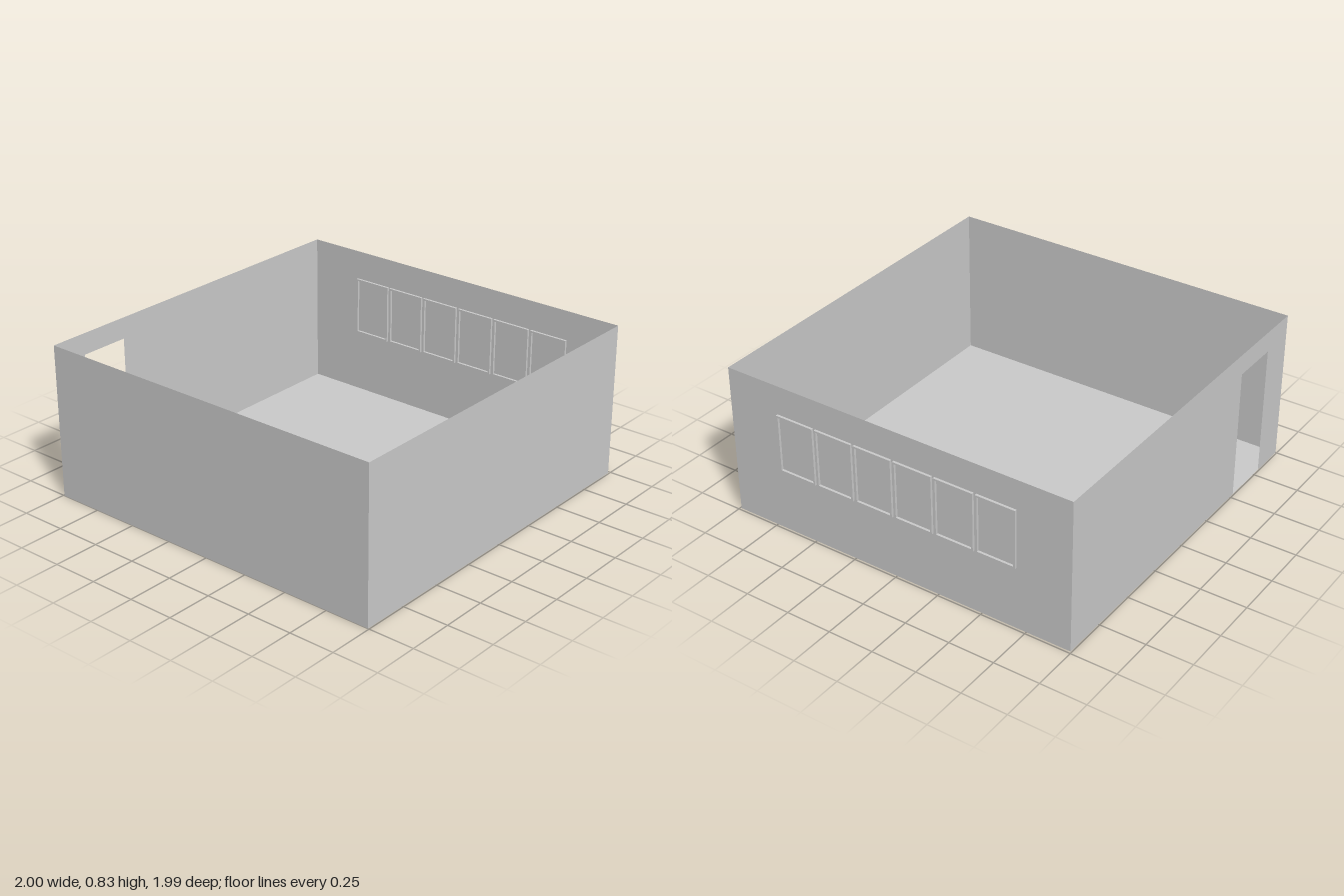
import * as THREE from 'three';

const W = 1.987, H = 0.83, X0 = -1, X1 = X0 + W, Z = W / 2;
const mat = new THREE.MeshStandardMaterial({ color: 0xcccccc, side: THREE.DoubleSide, flatShading: true });

// Thin panel from a list of 2D corners
function panel(name, points) {
  const shape = new THREE.Shape(points.map(([x, y]) => new THREE.Vector2(x, y)));
  const mesh = new THREE.Mesh(new THREE.ShapeGeometry(shape), mat);
  mesh.name = name;
  return mesh;
}

// Rectangular window frame, lying in the XY plane and centred on z = 0
function windowFrame(w, h, bar, depth) {
  const rect = (p, a, b) => p.moveTo(-a, -b).lineTo(a, -b).lineTo(a, b).lineTo(-a, b).closePath();
  const shape = rect(new THREE.Shape(), w / 2, h / 2);
  shape.holes.push(rect(new THREE.Path(), w / 2 - bar, h / 2 - bar));
  const geo = new THREE.ExtrudeGeometry(shape, { depth, bevelEnabled: false });
  return geo.translate(0, 0, -depth / 2);
}

export function createModel() {
  const room = new THREE.Group();
  room.name = 'room';
  const cx = (X0 + X1) / 2;
  const plain = [[-Z, 0], [Z, 0], [Z, H], [-Z, H]];

  // Floor
  const floor = panel('floor', [[-Z, -Z], [Z, -Z], [Z, Z], [-Z, Z]]);
  floor.rotation.x = -Math.PI / 2;
  floor.position.x = cx;
  room.add(floor);

  // Front and side walls
  const front = panel('frontWall', plain);
  front.position.set(cx, 0, Z);
  room.add(front);
  for (const [name, x, turn] of [['leftWall', X1, 1], ['rightWall', X0, -1]]) {
    const wall = panel(name, plain);
    wall.position.x = x;
    wall.rotation.y = turn * Math.PI / 2;
    room.add(wall);
  }

  // Back wall, outlined around the open doorway
  const d0 = -0.803, d1 = -0.533, dh = 0.715;
  const back = panel('backWall', [
    [X0, 0], [d0, 0], [d0, dh], [d1, dh], [d1, 0], [X1, 0], [X1, H], [X0, H],
  ]);
  back.position.z = -Z;
  room.add(back);

  // Row of six window frames set through the side wall
  const windows = new THREE.Group();
  windows.name = 'windows';
  const pitch = 0.234, frame = windowFrame(0.22, 0.322, 0.01, 0.026);
  for (let i = 0; i < 6; i++) {
    const mesh = new THREE.Mesh(frame, mat);
    mesh.name = 'windowFrame' + (i + 1);
    mesh.rotation.y = Math.PI / 2;
    mesh.position.set(X1, 0.508, (i - 2.5) * pitch);
    windows.add(mesh);
  }
  room.add(windows);
  return room;
}
